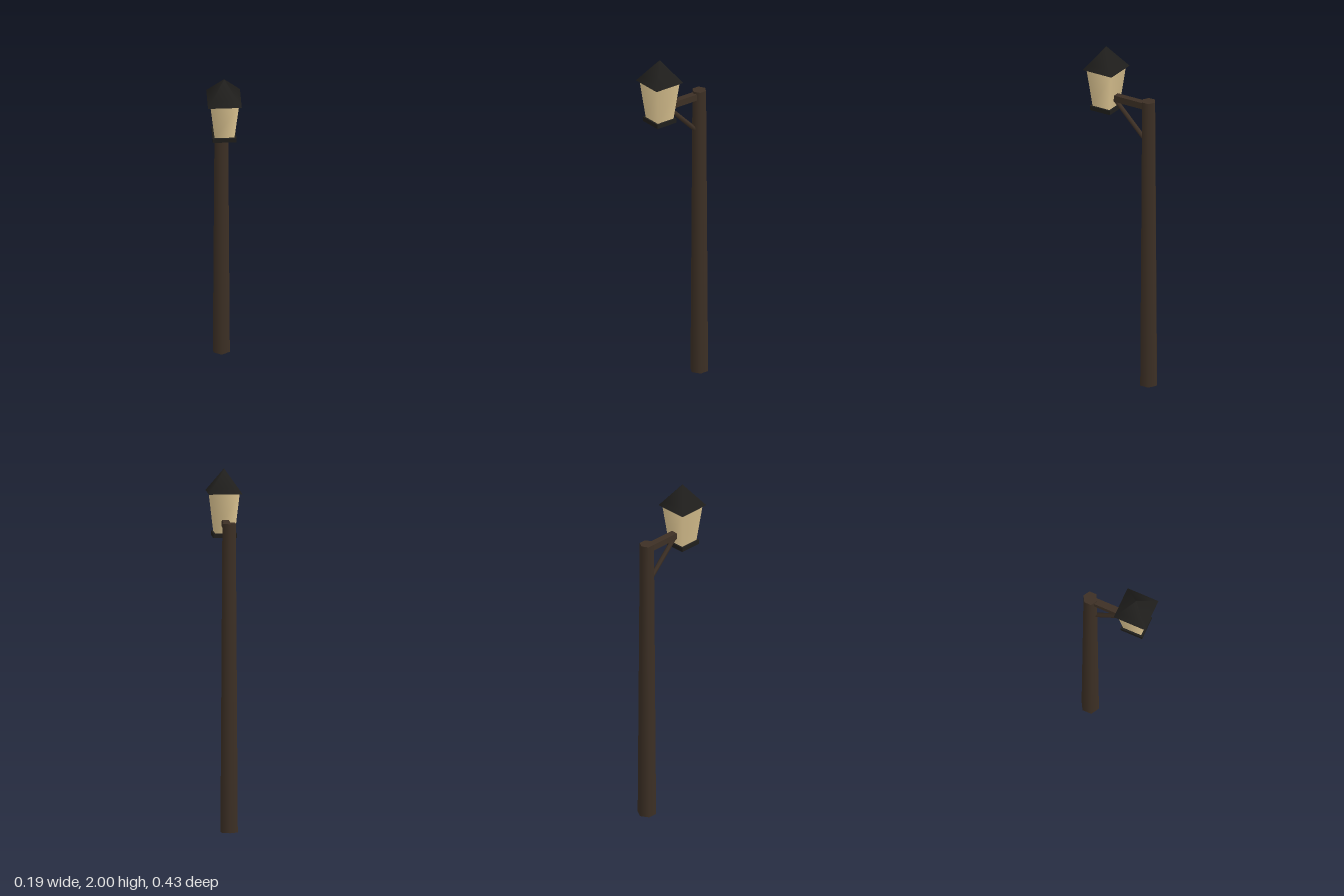
import * as THREE from 'three';

const wood = new THREE.MeshStandardMaterial({ color: 0x3d3025 });
const iron = new THREE.MeshStandardMaterial({ color: 0x1f1e1c });
const glass = new THREE.MeshStandardMaterial({ color: 0xe6cd98 });

const POST_Z = -0.16;
const LAMP_Z = 0.119;

export function createModel() {
  const model = new THREE.Group();
  model.name = 'streetLamp';

  const add = (parent, name, geometry, material, x, y, z) => {
    const mesh = new THREE.Mesh(geometry, material);
    mesh.name = name;
    mesh.position.set(x, y, z);
    parent.add(mesh);
    return mesh;
  };

  // Square frustum given by half-widths, its sides facing the axes
  const frustum = (top, bottom, height) =>
    new THREE.CylinderGeometry(top * Math.SQRT2, bottom * Math.SQRT2, height, 4).rotateY(Math.PI / 4);

  // Tapered six-sided post, with a corner facing the front
  add(model, 'post', new THREE.CylinderGeometry(0.041, 0.053, 1.735, 6), wood, 0, 1.735 / 2, POST_Z);

  // Horizontal arm from the post into the lantern
  add(model, 'arm', new THREE.BoxGeometry(0.038, 0.038, 0.22), wood, 0, 1.703, -0.05);

  // Slanted brace under the arm
  const from = new THREE.Vector3(0, 1.495, -0.135);
  const to = new THREE.Vector3(0, 1.692, 0.062);
  const mid = from.clone().lerp(to, 0.5);
  const brace = add(model, 'brace', new THREE.CylinderGeometry(0.013, 0.013, from.distanceTo(to), 6),
    wood, mid.x, mid.y, mid.z);
  brace.quaternion.setFromUnitVectors(new THREE.Vector3(0, 1, 0), to.clone().sub(from).normalize());

  // Lantern: base plate, flared glass and pointed roof
  const lantern = new THREE.Group();
  lantern.name = 'lantern';
  lantern.position.z = LAMP_Z;
  model.add(lantern);
  add(lantern, 'lanternBase', new THREE.BoxGeometry(0.132, 0.025, 0.132), iron, 0, 1.633, 0);
  add(lantern, 'lanternGlass', frustum(0.08, 0.055, 0.23), glass, 0, 1.757, 0);
  add(lantern, 'roofEave', frustum(0.073, 0.094, 0.03), iron, 0, 1.884, 0);
  add(lantern, 'roofPeak', frustum(0.002, 0.073, 0.101), iron, 0, 1.9495, 0);

  return model;
}
